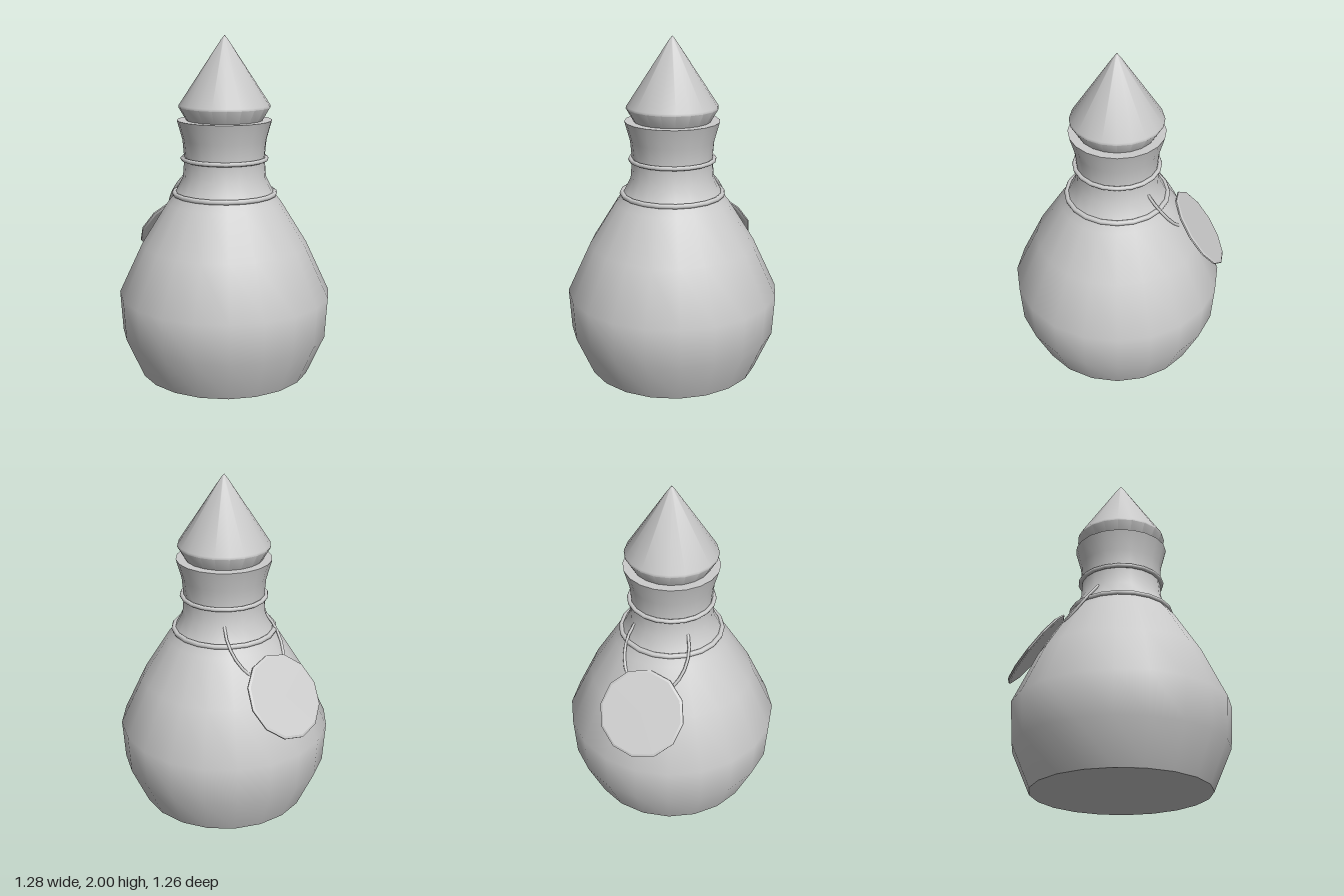
import * as THREE from 'three';
import { toCreasedNormals } from 'three/addons/utils/BufferGeometryUtils.js';

const SIDES = 20;
const AXIS_X = 0.01;

export function createModel() {
  const model = new THREE.Group();
  model.name = 'bottle';
  const material = new THREE.MeshStandardMaterial({ color: 0xcccccc });

  const add = (name, geometry, x = 0, y = 0) => {
    const mesh = new THREE.Mesh(geometry, material);
    mesh.name = name;
    mesh.position.set(x, y, 0);
    model.add(mesh);
    return mesh;
  };

  // Turned part from a bottom-to-top profile of [radius, height]
  const turned = (name, profile) => {
    const points = profile.map(([r, y]) => new THREE.Vector2(r, y));
    return add(name, toCreasedNormals(new THREE.LatheGeometry(points, SIDES), 0.75), AXIS_X);
  };

  // Bottle: flat base, round belly, waisted neck and flared lip
  turned('bottleBody', [
    [0, 0], [0.51, 0], [0.615, 0.24], [0.63, 0.48], [0.49, 0.78], [0.335, 1.03],
    [0.295, 1.08], [0.245, 1.18], [0.236, 1.29], [0.246, 1.4], [0.278, 1.515], [0.2, 1.515],
  ]);

  // Pointed stopper with an undercut below its widest edge
  turned('stopper', [
    [0, 1.49], [0.21, 1.49], [0.268, 1.59], [0.265, 1.603], [0.022, 1.972], [0, 2],
  ]);

  // Raised rings around the neck
  for (const [name, radius, y, tube] of [
    ['lowerNeckRing', 0.297, 1.085, 0.015],
    ['upperNeckRing', 0.246, 1.29, 0.013],
  ]) {
    const ring = new THREE.TorusGeometry(radius, tube, 8, SIDES);
    ring.rotateX(Math.PI / 2);
    add(name, ring, AXIS_X, y);
  }

  // Tag and cord both lean along the shoulder
  const lean = Math.atan2(0.3, 0.4);

  // Round twelve-sided tag with a bevelled edge
  const tagProfile = [[0, -0.01], [0.238, -0.01], [0.252, -0.004], [0.252, 0.004], [0.238, 0.01], [0, 0.01]]
    .map(([r, y]) => new THREE.Vector2(r, y));
  const tag = add('tag', toCreasedNormals(new THREE.LatheGeometry(tagProfile, 12), 0.4), -0.49, 0.81);
  tag.rotation.z = Math.PI / 2 - lean;

  // Oval cord loop running from the lower ring to under the tag
  const cordGeometry = new THREE.TorusGeometry(0.19, 0.009, 6, 24);
  cordGeometry.rotateX(Math.PI / 2);
  cordGeometry.scale(1.3, 1, 1);
  const cord = add('tagCord', cordGeometry, -0.245, 1.075);
  cord.rotation.z = Math.PI / 2 - lean;

  return model;
}
